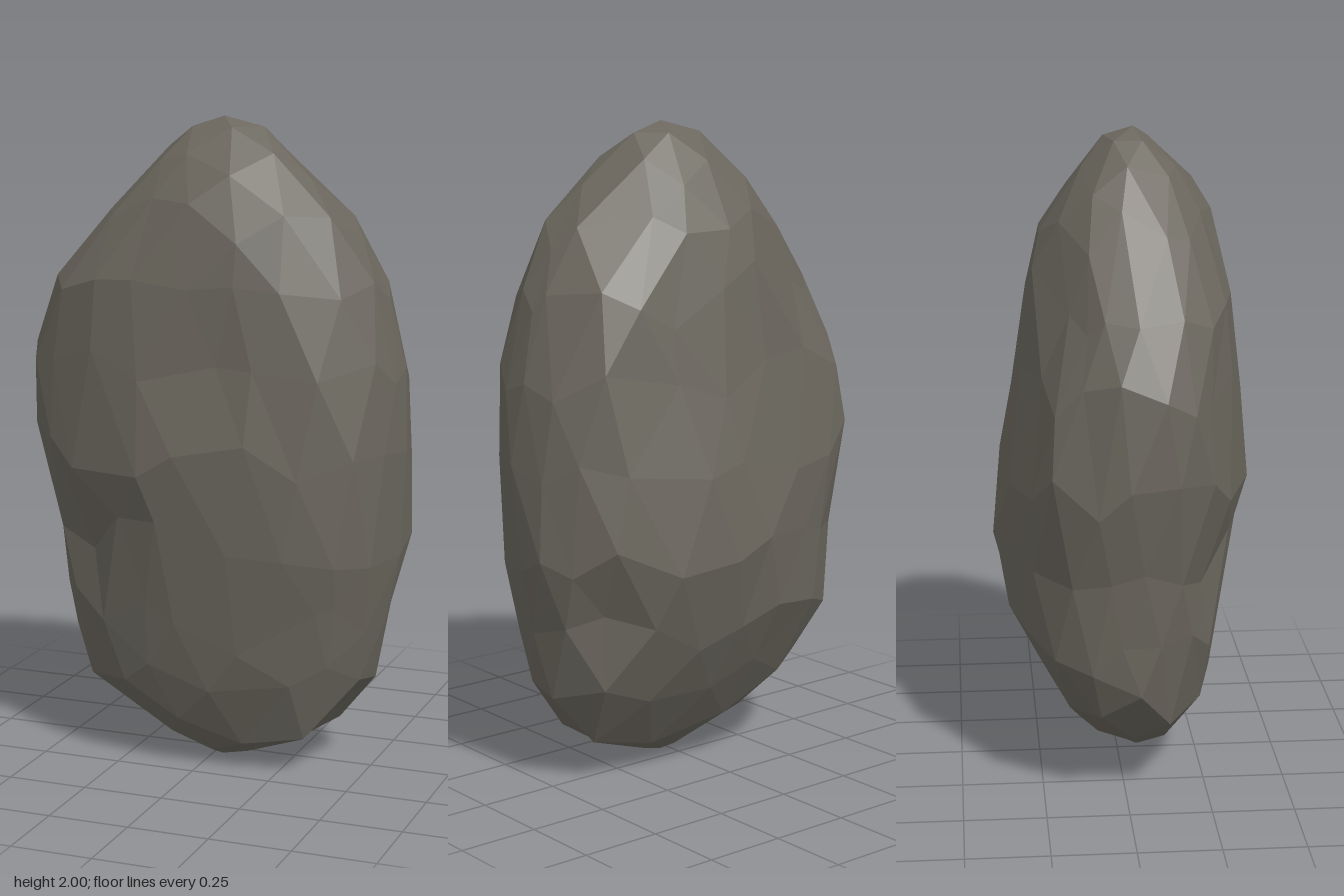
import * as THREE from 'three';
import { mergeVertices } from 'three/addons/utils/BufferGeometryUtils.js';

// Outline by height: y, xMin, xMax, zBack, zFront
const OUTLINE = [
  [0, 0.03, 0.05, 0.05, 0.07],
  [0.05, -0.085, 0.19, -0.03, 0.16],
  [0.12, -0.21, 0.41, -0.125, 0.22],
  [0.24, -0.41, 0.48, -0.19, 0.265],
  [0.41, -0.49, 0.535, -0.28, 0.30],
  [0.58, -0.50, 0.56, -0.37, 0.32],
  [0.78, -0.525, 0.605, -0.387, 0.35],
  [0.97, -0.565, 0.60, -0.365, 0.39],
  [1.20, -0.61, 0.595, -0.32, 0.367],
  [1.40, -0.54, 0.565, -0.28, 0.347],
  [1.56, -0.455, 0.50, -0.275, 0.332],
  [1.69, -0.335, 0.435, -0.235, 0.315],
  [1.83, -0.22, 0.30, -0.145, 0.245],
  [1.96, -0.105, 0.18, -0.06, 0.105],
  [2, 0.01, 0.03, 0.04, 0.06],
];

// Hollows and bulges: x, y, z, radius, amount outward
const DENTS = [
  // front
  [-0.32, 0.73, 0.30, 0.11, -0.06],
  [-0.18, 0.96, 0.38, 0.15, 0.01],
  [0.12, 1.20, 0.36, 0.15, -0.03],
  [0.38, 1.02, 0.30, 0.13, -0.025],
  [-0.42, 1.18, 0.27, 0.13, -0.03],
  [0.45, 0.65, 0.25, 0.15, 0.025],
  // shoulder and the dip above it
  [-0.39, 1.60, 0.20, 0.12, 0.06],
  [-0.21, 1.78, 0.20, 0.10, -0.04],
  // right end and back right
  [-0.55, 1.08, -0.13, 0.13, 0.03],
  [-0.36, 1.45, -0.20, 0.16, -0.055],
  [-0.28, 0.80, -0.33, 0.17, -0.035],
  [-0.36, 0.38, -0.18, 0.15, 0.035],
  [-0.14, 1.84, -0.08, 0.11, 0.02],
  // back left
  [0.42, 1.38, -0.20, 0.17, 0.045],
  [0.45, 0.60, -0.25, 0.13, -0.07],
  [0.42, 0.33, -0.12, 0.13, 0.03],
];

function sectionAt(y) {
  let i = 1;
  while (i < OUTLINE.length - 1 && OUTLINE[i][0] < y) i++;
  const a = OUTLINE[i - 1], b = OUTLINE[i];
  const t = (y - a[0]) / (b[0] - a[0]);
  return a.map((v, k) => THREE.MathUtils.lerp(v, b[k], t));
}

// Repeatable random numbers in -1..1
function makeRandom(seed) {
  return () => {
    seed = (seed * 16807) % 2147483647;
    return (seed / 2147483647) * 2 - 1;
  };
}

function rockGeometry() {
  const random = makeRandom(7);
  let geo = new THREE.IcosahedronGeometry(1, 3);
  geo.deleteAttribute('normal');
  geo.deleteAttribute('uv');
  geo = mergeVertices(geo, 1e-3);
  geo.rotateZ(-Math.atan(2 / (1 + Math.sqrt(5)))); // a corner at the top
  const pos = geo.attributes.position;
  const dir = new THREE.Vector3(), p = new THREE.Vector3();
  const normal = new THREE.Vector3(), spot = new THREE.Vector3();
  for (let i = 0; i < pos.count; i++) {
    dir.fromBufferAttribute(pos, i);
    // slide the corners so that the facets are uneven
    if (Math.abs(dir.y) < 0.94) {
      dir.x += 0.08 * random();
      dir.y += 0.06 * random();
      dir.z += 0.08 * random();
      dir.normalize();
    }
    const y = THREE.MathUtils.clamp(1 + dir.y, 0, 2);
    const [, x0, x1, z0, z1] = sectionAt(y);
    const a = (x1 - x0) / 2, b = (z1 - z0) / 2;
    // slightly squared oval section, a little rough
    const angle = Math.atan2(dir.z, dir.x);
    const c = Math.cos(angle), s = Math.sin(angle);
    const k = (Math.abs(c) ** 2.25 + Math.abs(s) ** 2.25) ** (-1 / 2.25) * (1.012 + 0.007 * random());
    p.set((x0 + x1) / 2 + a * c * k, y, (z0 + z1) / 2 + b * s * k);
    // push the hollows in and the bulges out
    normal.set(c / a, 0, s / b).normalize();
    let push = 0;
    for (const [dx, dy, dz, r, amount] of DENTS) {
      push += amount * Math.exp(-p.distanceToSquared(spot.set(dx, dy, dz)) / (r * r));
    }
    p.addScaledVector(normal, push);
    pos.setXYZ(i, p.x, p.y, p.z);
  }
  // separate faces give hard facets
  const flat = geo.toNonIndexed();
  flat.computeVertexNormals();
  return flat;
}

export function createModel() {
  const stone = new THREE.MeshStandardMaterial({ color: 0x6b675e });
  stone.name = 'stone grey';
  const rock = new THREE.Mesh(rockGeometry(), stone);
  rock.name = 'rock';
  const group = new THREE.Group();
  group.name = 'boulder';
  group.add(rock);
  return group;
}
